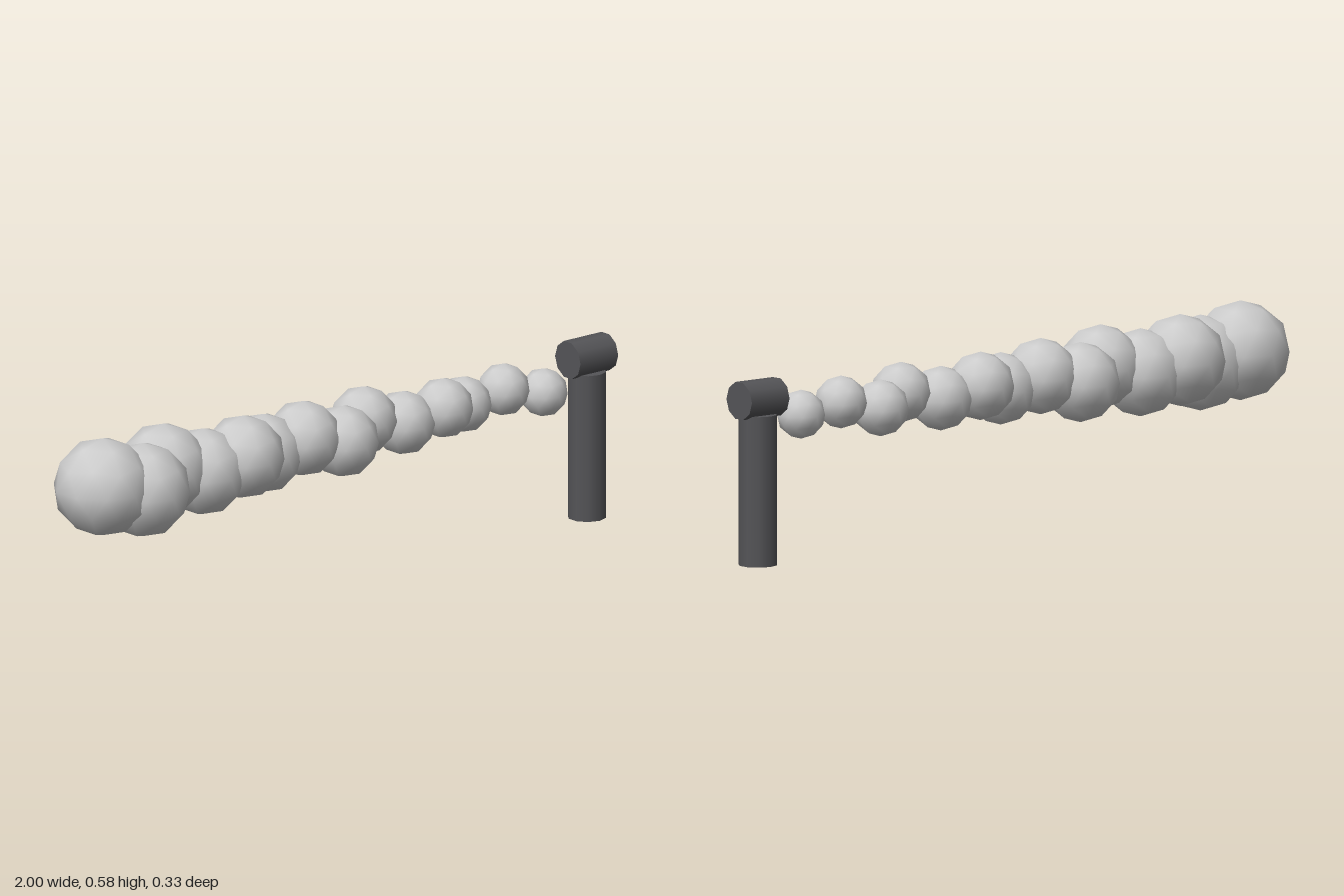
import * as THREE from 'three';

export function createModel() {
  const model = new THREE.Group();
  const darkMetal = new THREE.MeshStandardMaterial({ color: 0x555558 });
  darkMetal.name = 'dark metal';
  const smoke = new THREE.MeshStandardMaterial({ color: 0xcccccc });
  smoke.name = 'pale smoke';

  const add = (name, geometry, material, x, y, z) => {
    const mesh = new THREE.Mesh(geometry, material);
    mesh.name = name;
    mesh.position.set(x, y, z);
    model.add(mesh);
    return mesh;
  };

  // Ten-sided upright pipe with a short crosswise outlet on top
  const pipeRadius = 0.0555;
  add('pipe', new THREE.CylinderGeometry(pipeRadius, pipeRadius, 0.43, 10), darkMetal, 0.931, 0.215, -0.002);
  const outlet = new THREE.CylinderGeometry(pipeRadius, pipeRadius, 0.14, 10).rotateZ(Math.PI / 2);
  add('outlet', outlet, darkMetal, 0.93, 0.475, -0.002);

  // Low-poly ball turned so that one corner points straight up
  const ball = new THREE.IcosahedronGeometry(1, 1).rotateZ(Math.atan(2 / (1 + Math.sqrt(5))));

  // Trail of puffs, growing and weaving away from the outlet
  const sway = [0.026, -0.003, -0.031];
  for (let i = 0; i < 14; i++) {
    const puff = add('smokePuff' + (i + 1), ball, smoke, 0.746 - 0.124 * i, i % 2 ? 0.435 : 0.409, sway[i % 3]);
    puff.scale.setScalar(0.07 + 0.0056 * i);
  }
  return model;
}
